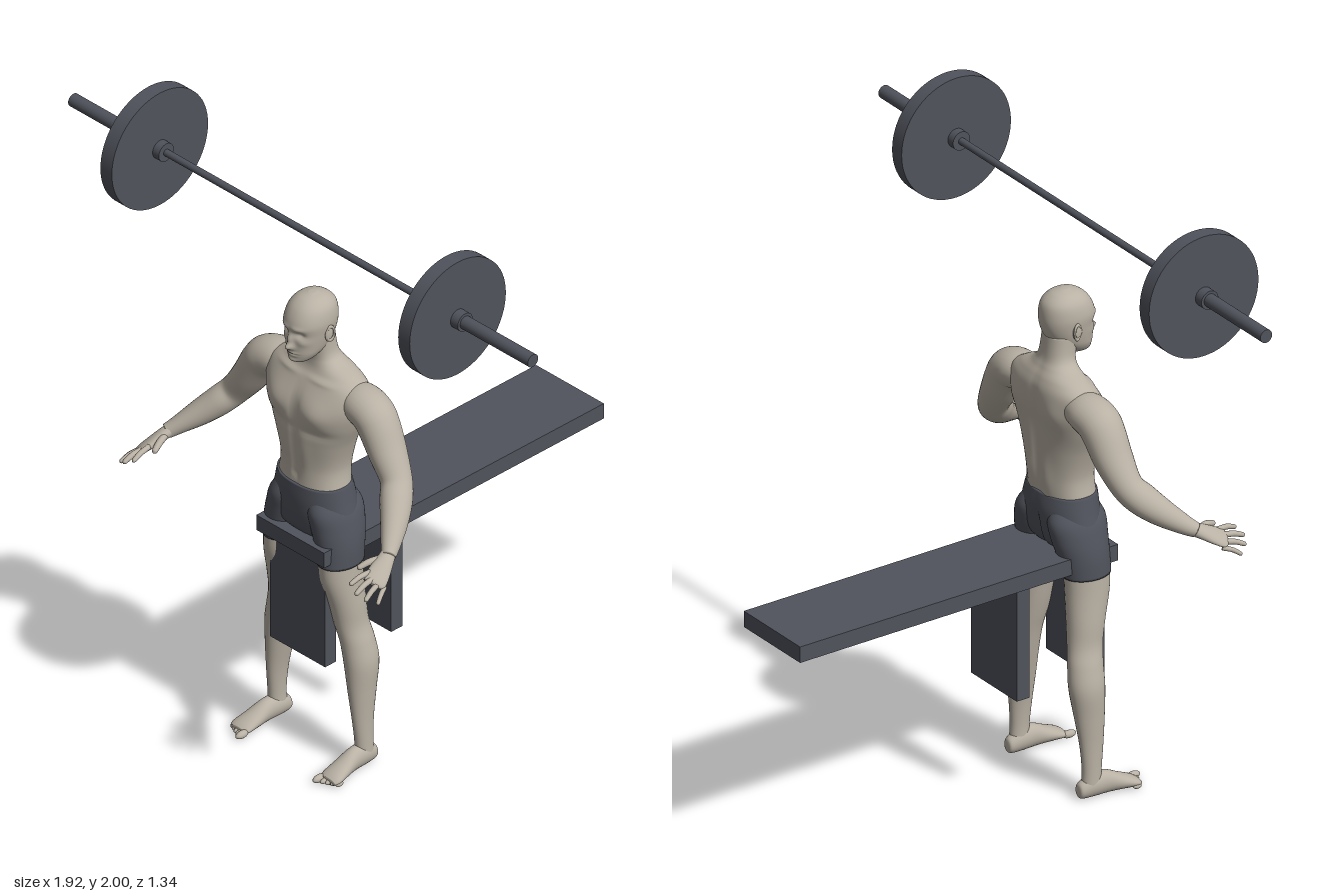
import * as THREE from 'three';

const skin = new THREE.MeshStandardMaterial({ color: 0xb9b1a4 });
skin.name = 'skin';
const charcoal = new THREE.MeshStandardMaterial({ color: 0x50535c });
charcoal.name = 'charcoal';

// Catmull-Rom value of component k along the stations
function sample(st, u, k) {
  const i = Math.min(Math.floor(u), st.length - 2), f = u - i;
  const at = (n) => st[Math.max(0, Math.min(st.length - 1, n))][k];
  const a = at(i - 1), b = at(i), c = at(i + 1), d = at(i + 2);
  return b + 0.5 * f * (c - a + f * (2 * a - 5 * b + 4 * c - d + f * (3 * (b - c) + d - a)));
}

// Smooth skin over elliptical stations [x, y, z, half width, half depth].
// ref: depth direction; axis: fixed ring normal; bumps: [front/back, x, y, spreadX, spreadY, height]
function loft(stations, { ref = [0, 0, 1], axis = null, segs = 28, steps = 6, power = 2, side = 1, bumps = [] } = {}) {
  const st = stations.map((s) => [s[0] * side, ...s.slice(1)]);
  const n = (st.length - 1) * steps, pos = [], idx = [];
  const point = (u) => new THREE.Vector3(sample(st, u, 0), sample(st, u, 1), sample(st, u, 2));
  const bend = (c) => Math.sign(c) * Math.abs(c) ** (2 / power);
  for (let i = 0; i <= n; i++) {
    const u = i / steps, c = point(u);
    const t = axis ? new THREE.Vector3(...axis)
      : point(Math.min(u + 0.05, st.length - 1)).sub(point(Math.max(u - 0.05, 0))).normalize();
    const V = new THREE.Vector3(ref[0] * side, ref[1], ref[2]);
    V.addScaledVector(t, -V.dot(t)).normalize();
    const U = V.clone().cross(t);
    const ru = Math.max(0.001, sample(st, u, 3)), rv = Math.max(0.001, sample(st, u, 4));
    for (let j = 0; j < segs; j++) {
      const a = (j / segs) * Math.PI * 2;
      const p = c.clone().addScaledVector(U, ru * bend(Math.cos(a))).addScaledVector(V, rv * bend(Math.sin(a)));
      const facing = Math.sin(a);
      let dz = 0;
      for (const [dir, bx, by, sx, sy, h] of bumps) {
        const w = Math.min(1, Math.max(0, facing * dir * 2));
        dz += dir * w * h * Math.exp(-(((Math.abs(p.x) - bx) / sx) ** 2) - ((p.y - by) / sy) ** 2);
      }
      pos.push(p.x, p.y, p.z + dz);
    }
  }
  for (let i = 0; i < n; i++) for (let j = 0; j < segs; j++) {
    const k = (j + 1) % segs, a = i * segs, b = a + segs;
    idx.push(a + j, a + k, b + j, a + k, b + k, b + j);
  }
  // end caps
  for (const [row, flip] of [[0, true], [n, false]]) {
    const u = row / steps, c = point(u), centre = pos.length / 3;
    pos.push(c.x, c.y, c.z);
    for (let j = 0; j < segs; j++) {
      const a = row * segs + j, b = row * segs + ((j + 1) % segs);
      idx.push(centre, flip ? b : a, flip ? a : b);
    }
  }
  const g = new THREE.BufferGeometry();
  g.setAttribute('position', new THREE.Float32BufferAttribute(pos, 3));
  g.setIndex(idx);
  g.computeVertexNormals();
  return g;
}

function add(parent, name, geometry, material, p = [0, 0, 0]) {
  const m = new THREE.Mesh(geometry, material);
  m.name = name;
  m.position.set(...p);
  parent.add(m);
  return m;
}

function group(parent, name) {
  const g = new THREE.Group();
  g.name = name;
  parent.add(g);
  return g;
}

function buildBarbell(root) {
  const g = group(root, 'barbell');
  // cylinder lying along x from x0 to x1
  const rod = (name, x0, x1, r) =>
    add(g, name, new THREE.CylinderGeometry(r, r, Math.abs(x1 - x0), 64), charcoal, [(x0 + x1) / 2, 1.805, 0.408]).rotation.z = Math.PI / 2;
  rod('bar', -0.6, 0.6, 0.011);
  for (const s of [-1, 1]) {
    rod('innerCollar', s * 0.572, s * 0.6, 0.03);
    rod('weightPlate', s * 0.598, s * 0.646, 0.195);
    rod('outerCollar', s * 0.645, s * 0.677, 0.03);
    rod('sleeve', s * 0.6, s * 0.96, 0.021);
  }
}

function buildBench(root) {
  const g = group(root, 'bench');
  add(g, 'benchBoard', new THREE.BoxGeometry(0.283, 0.052, 1.135), charcoal, [0, 0.743, -0.107]);
  for (const z of [0.14, 0.408]) add(g, 'benchLeg', new THREE.BoxGeometry(0.23, 0.38, 0.045), charcoal, [0, 0.535, z]);
}

function buildHead(g) {
  add(g, 'head', loft([
    [0, 1.366, 0.418, 0.02, 0.022], [0, 1.374, 0.412, 0.034, 0.04], [0, 1.395, 0.4, 0.049, 0.056],
    [0, 1.42, 0.386, 0.058, 0.072], [0, 1.46, 0.377, 0.066, 0.082], [0, 1.5, 0.376, 0.07, 0.086],
    [0, 1.54, 0.371, 0.062, 0.073], [0, 1.565, 0.37, 0.04, 0.046], [0, 1.576, 0.37, 0.01, 0.012],
  ], {
    axis: [0, 1, 0], segs: 88, steps: 9, power: 2.15,
    bumps: [
      [1, 0, 1.426, 0.011, 0.011, 0.02], [1, 0, 1.45, 0.009, 0.02, 0.012], // nose
      [1, 0.028, 1.469, 0.014, 0.01, -0.011], [1, 0.025, 1.49, 0.022, 0.007, 0.004], // eyes, brow
      [1, 0, 1.404, 0.02, 0.005, 0.005], [1, 0, 1.395, 0.017, 0.005, 0.004], [1, 0, 1.3995, 0.02, 0.002, -0.004], // lips
      [1, 0, 1.376, 0.018, 0.008, 0.005], [1, 0.04, 1.443, 0.014, 0.012, 0.004], // chin, cheekbones
    ],
  }), skin);
  for (const s of [-1, 1]) {
    add(g, 'eye', new THREE.SphereGeometry(0.01, 20, 14), skin, [s * 0.028, 1.469, 0.432]).scale.set(1.1, 0.7, 1);
    // ear: a bowl with a raised rim
    const ear = add(g, 'ear', new THREE.SphereGeometry(0.024, 20, 14), skin, [s * 0.067, 1.458, 0.368]);
    ear.scale.set(0.25, 1.1, 0.65);
    const rim = add(g, 'earRim', new THREE.TorusGeometry(0.02, 0.005, 10, 28), skin, [s * 0.071, 1.46, 0.366]);
    rim.rotation.set(0, Math.PI / 2 - s * 0.3, 0);
    rim.scale.set(0.65, 1.15, 0.8);
  }
}

function buildTorso(g) {
  add(g, 'torso', loft([
    [0, 0.925, 0.36, 0.121, 0.082], [0, 1.0, 0.354, 0.114, 0.084], [0, 1.09, 0.354, 0.136, 0.091],
    [0, 1.17, 0.353, 0.168, 0.094], [0, 1.235, 0.347, 0.186, 0.092], [0, 1.285, 0.337, 0.18, 0.08],
    [0, 1.318, 0.332, 0.135, 0.064], [0, 1.345, 0.336, 0.082, 0.053], [0, 1.375, 0.343, 0.059, 0.048],
    [0, 1.44, 0.355, 0.055, 0.05],
  ], {
    axis: [0, 1, 0], segs: 80, steps: 8, power: 2.3,
    bumps: [
      [1, 0.078, 1.205, 0.06, 0.045, 0.016], [1, 0.075, 1.14, 0.06, 0.015, -0.005], // pectorals
      [1, 0, 1.2, 0.014, 0.06, -0.007], [1, 0, 1.05, 0.008, 0.09, -0.004], // midlines
      [1, 0.035, 1.05, 0.025, 0.08, 0.004], [1, 0, 0.972, 0.007, 0.006, -0.006], // abdomen, navel
      [1, 0.07, 1.302, 0.05, 0.008, 0.005], // collarbones
      [-1, 0, 1.12, 0.016, 0.16, -0.011], [-1, 0.095, 1.22, 0.05, 0.05, 0.01], // spine, shoulder blades
      [-1, 0.04, 1.0, 0.025, 0.07, 0.006], // lower back
    ],
  }), skin);
}

function buildArm(parent, side) {
  const g = group(parent, side > 0 ? 'leftArm' : 'rightArm');
  add(g, 'arm', loft([
    [0.11, 1.25, 0.328, 0.045, 0.05], [0.165, 1.25, 0.332, 0.058, 0.066], [0.215, 1.236, 0.336, 0.062, 0.067],
    [0.243, 1.208, 0.338, 0.061, 0.065], [0.285, 1.14, 0.343, 0.054, 0.06], [0.335, 1.07, 0.356, 0.046, 0.049],
    [0.368, 1.03, 0.388, 0.045, 0.05], [0.405, 0.99, 0.432, 0.039, 0.042], [0.445, 0.95, 0.486, 0.027, 0.029],
    [0.462, 0.934, 0.512, 0.023, 0.022],
  ], { side }), skin);
  const ref = [0.45, 0.85, 0.1];
  add(g, 'palm', loft([
    [0.453, 0.942, 0.497, 0.021, 0.02], [0.464, 0.928, 0.525, 0.026, 0.018],
    [0.477, 0.909, 0.562, 0.033, 0.015], [0.488, 0.893, 0.593, 0.034, 0.011], [0.491, 0.889, 0.602, 0.02, 0.006],
  ], { ref, side }), skin);
  // fingers from knuckle to tip, then thumb
  const digits = [
    ['indexFinger', [0.461, 0.913, 0.585], [0.453, 0.898, 0.66], 0.0085],
    ['middleFinger', [0.479, 0.901, 0.59], [0.485, 0.882, 0.668], 0.009],
    ['ringFinger', [0.496, 0.888, 0.585], [0.512, 0.866, 0.655], 0.0085],
    ['littleFinger', [0.509, 0.877, 0.572], [0.534, 0.851, 0.625], 0.0075],
    ['thumb', [0.452, 0.931, 0.528], [0.425, 0.916, 0.602], 0.0105],
  ];
  for (const [name, a, b, r] of digits) {
    const at = (f, lift, k) => [...a.map((v, i) => v + (b[i] - v) * f + (i === 1 ? lift : 0)), r * k, r * k];
    add(g, name, loft([at(0, 0, 1), at(0.5, 0.005, 1), at(0.88, 0.001, 0.85), at(0.97, 0, 0.55), at(1, 0, 0.1)],
      { ref, side, segs: 12, steps: 4 }), skin);
  }
}

function buildLeg(parent, side) {
  const g = group(parent, side > 0 ? 'leftLeg' : 'rightLeg');
  add(g, 'leg', loft([
    [0.112, 0.76, 0.365, 0.056, 0.073], [0.117, 0.65, 0.367, 0.055, 0.072], [0.128, 0.55, 0.354, 0.051, 0.061],
    [0.137, 0.48, 0.345, 0.046, 0.056], [0.152, 0.42, 0.336, 0.047, 0.056], [0.165, 0.35, 0.332, 0.047, 0.057],
    [0.172, 0.26, 0.336, 0.036, 0.049], [0.178, 0.17, 0.339, 0.026, 0.039], [0.181, 0.09, 0.338, 0.023, 0.032],
    [0.181, 0.03, 0.335, 0.025, 0.032],
  ], { side, axis: [0, -1, 0] }), skin);
  add(g, 'foot', loft([
    [0.179, 0.027, 0.291, 0.008, 0.01], [0.179, 0.028, 0.298, 0.02, 0.025], [0.18, 0.036, 0.335, 0.027, 0.036],
    [0.182, 0.036, 0.385, 0.028, 0.036], [0.185, 0.025, 0.435, 0.034, 0.025], [0.188, 0.016, 0.475, 0.037, 0.016],
    [0.188, 0.012, 0.492, 0.03, 0.01],
  ], { side, ref: [0, 1, 0], axis: [0, 0, 1] }), skin);
  // toes, the big one innermost
  for (let i = 0; i < 5; i++) {
    const r = i ? 0.0085 - i * 0.0003 : 0.012;
    const p = [side * (i ? 0.163 + i * 0.0142 : 0.161), r, 0.5 - i * 0.0065];
    add(g, 'toe', new THREE.SphereGeometry(r, 14, 10), skin, p).scale.z = 2;
  }
}

function buildShorts(parent) {
  const g = group(parent, 'shorts');
  add(g, 'shortsSeat', loft([
    [0, 0.942, 0.36, 0.126, 0.086], [0, 0.89, 0.357, 0.138, 0.092], [0, 0.83, 0.358, 0.153, 0.088],
    [0, 0.785, 0.361, 0.15, 0.076], [0, 0.755, 0.363, 0.1, 0.05],
  ], { axis: [0, -1, 0], segs: 64, power: 2.2, bumps: [[-1, 0, 0.83, 0.013, 0.06, -0.014]] }), charcoal);
  for (const side of [-1, 1]) add(g, 'shortsLeg', loft([
    [0.065, 0.91, 0.358, 0.045, 0.07], [0.078, 0.865, 0.356, 0.066, 0.093], [0.092, 0.81, 0.357, 0.07, 0.09],
    [0.105, 0.755, 0.362, 0.067, 0.082], [0.114, 0.695, 0.367, 0.061, 0.077],
  ], { side, axis: [0, -1, 0], segs: 40 }), charcoal);
}

export function createModel() {
  const root = new THREE.Group();
  root.name = 'benchPressScene';
  buildBarbell(root);
  buildBench(root);
  const man = group(root, 'athlete');
  buildHead(man);
  buildTorso(man);
  buildShorts(man);
  for (const side of [-1, 1]) {
    buildArm(man, side);
    buildLeg(man, side);
  }
  return root;
}
